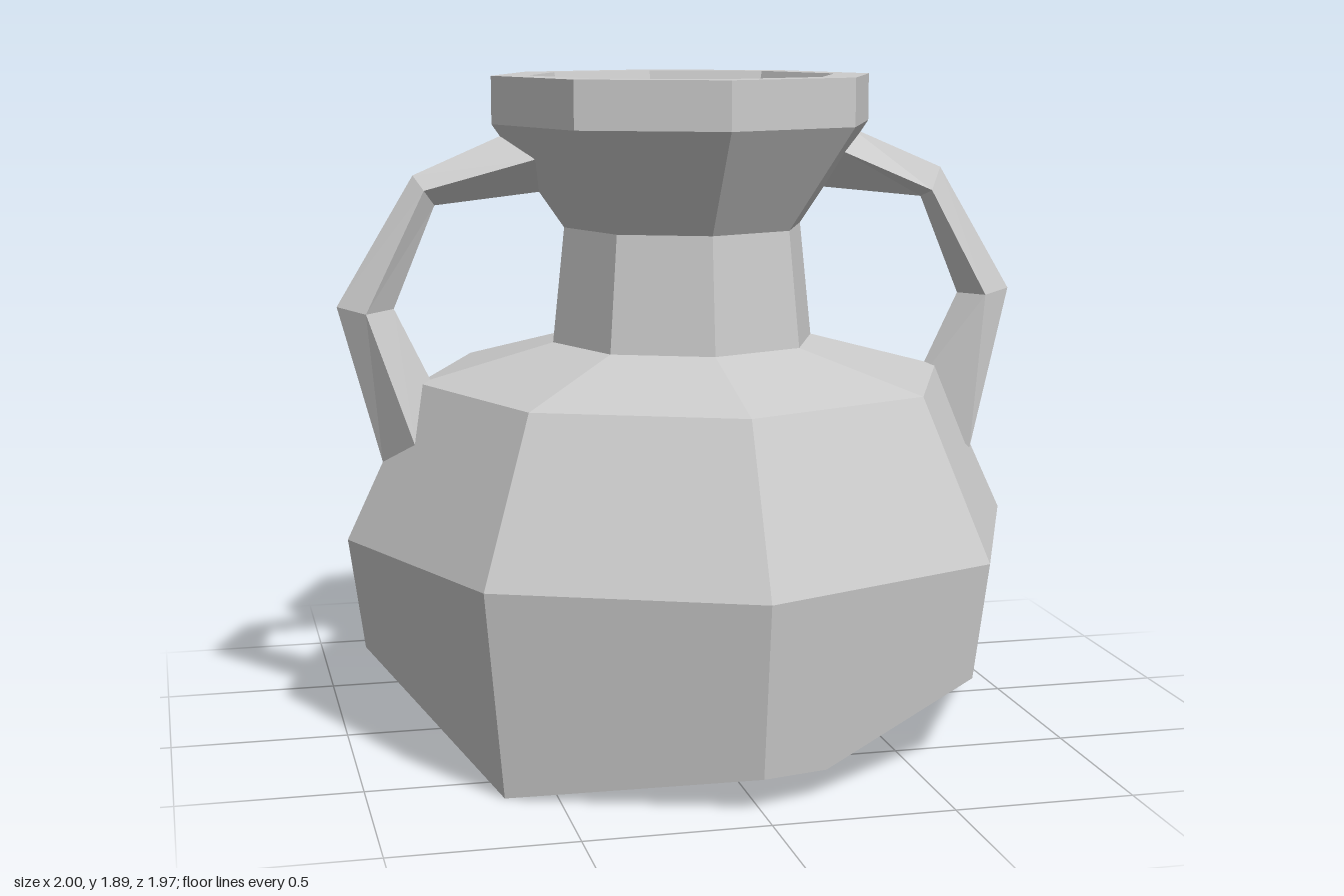
import * as THREE from 'three';

const material = new THREE.MeshStandardMaterial({ color: 0xcccccc, flatShading: true, side: THREE.DoubleSide });

// Joins a list of point rings into a faceted skin.
function loft(rings, name) {
  const pos = [];
  const n = rings[0].length;
  for (let i = 0; i < rings.length - 1; i++) {
    for (let j = 0; j < n; j++) {
      const k = (j + 1) % n;
      const a = rings[i][j], b = rings[i][k], c = rings[i + 1][k], d = rings[i + 1][j];
      pos.push(...a, ...b, ...c, ...a, ...c, ...d);
    }
  }
  const geometry = new THREE.BufferGeometry();
  geometry.setAttribute('position', new THREE.Float32BufferAttribute(pos, 3));
  geometry.computeVertexNormals();
  const mesh = new THREE.Mesh(geometry, material);
  mesh.name = name;
  return mesh;
}

// Point on an octagon; step counts corners from +z towards +x, fractions lie along a side.
function octagonPoint(step, radius, y) {
  const corner = Math.floor(step), t = step - corner;
  const at = (k) => [Math.sin(k * Math.PI / 4) * radius, Math.cos(k * Math.PI / 4) * radius];
  const [x0, z0] = at(corner), [x1, z1] = at(corner + 1);
  return [x0 + (x1 - x0) * t, y, z0 + (z1 - z0) * t];
}

// Broken lower edge: [octagon step, height]
const brokenEdge = [
  [0, 0.095], [0.3, 0.08], [1, 0.25], [2, 0.095], [3, 0.165],
  [3.44, 0.22], [4, 0.09], [5, 0.25], [6, 0.26], [7, 0],
];
const wallRadius = (y) => 0.905 + y * 0.138;

function createPot() {
  const ring = ([r, y]) => brokenEdge.map(([s]) => octagonPoint(s, r, y));
  const edge = (inset) => brokenEdge.map(([s, y]) => octagonPoint(s, wallRadius(y) - inset, y));
  return loft([
    // hollow underside
    ...[[0, 0.68], [0.91, 0.68]].map(ring),
    edge(0.04),
    edge(0),
    // belly, shoulder, neck, flared rim, then down inside the mouth
    ...[[0.985, 0.58], [0.775, 1.025], [0.385, 1.13], [0.35, 1.46], [0.555, 1.755], [0.555, 1.89],
      [0.45, 1.89], [0.33, 1.46], [0.3, 1.15], [0, 1.15]].map(ring),
  ], 'pot');
}

// Handle with a diamond section: outer ridge, front edge, inner ridge, back edge.
function createHandle(name) {
  return loft([
    [[0.5, 1.735, 0], [0.45, 1.67, 0.1], [0.4, 1.565, 0], [0.45, 1.66, -0.1]],
    [[0.78, 1.615, 0], [0.74, 1.55, 0.045], [0.72, 1.53, 0], [0.755, 1.575, -0.05]],
    [[1, 1.25, 0], [0.9, 1.24, 0.08], [0.84, 1.24, 0], [0.925, 1.235, -0.07]],
    [[0.88, 0.8, 0], [0.845, 0.79, 0.12], [0.7, 0.95, 0], [0.8, 0.865, -0.115]],
  ], name);
}

export function createModel() {
  const model = new THREE.Group();
  model.name = 'brokenPot';
  const leftHandle = createHandle('leftHandle');
  const rightHandle = createHandle('rightHandle');
  rightHandle.rotation.y = Math.PI;
  model.add(createPot(), leftHandle, rightHandle);
  return model;
}
